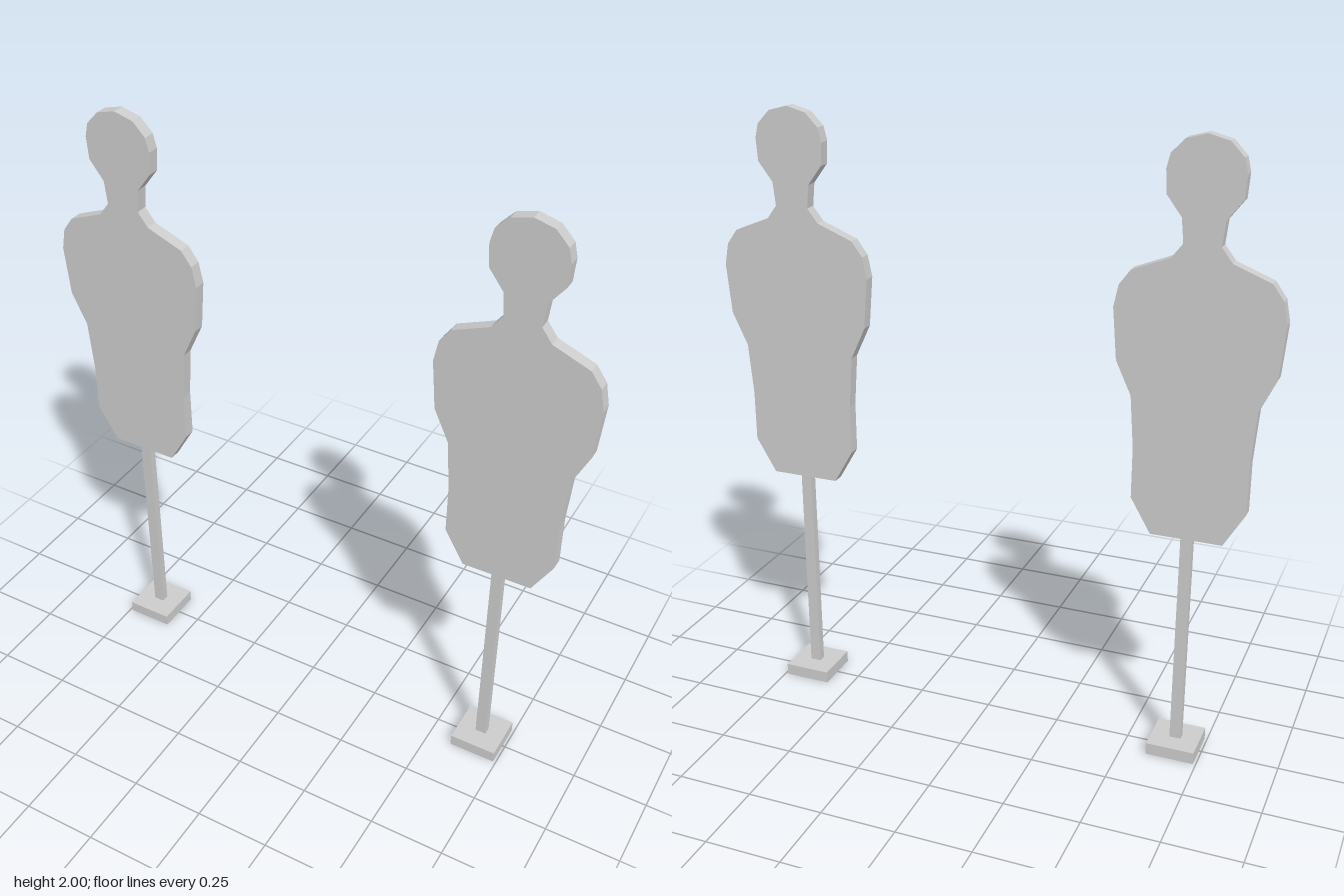
import * as THREE from 'three';

const material = new THREE.MeshStandardMaterial({ color: 0xcccccc, flatShading: true });

// Half outline of the silhouette: half width, height (bottom to crown)
const HALF = [
  [0.114, 0.76], [0.18, 0.873], [0.18, 1.037], [0.193, 1.205], [0.243, 1.312],
  [0.257, 1.475], [0.243, 1.545], [0.208, 1.593], [0.09, 1.64], [0.056, 1.685],
  [0.064, 1.76], [0.111, 1.822], [0.116, 1.895], [0.105, 1.94], [0.064, 1.983],
];
const THICKNESS = 0.04;

function addMesh(group, name, geometry, y = 0) {
  const mesh = new THREE.Mesh(geometry, material);
  mesh.name = name;
  mesh.position.y = y;
  group.add(mesh);
}

function createTarget(name, x) {
  const target = new THREE.Group();
  target.name = name;
  target.position.x = x;

  // Flat board, the half outline mirrored about the crown
  const outline = [
    ...HALF,
    [0, 2],
    ...HALF.map(([w, y]) => [-w, y]).reverse(),
  ].map(([px, py]) => new THREE.Vector2(px, py));
  const board = new THREE.ExtrudeGeometry(new THREE.Shape(outline), {
    depth: THICKNESS, bevelEnabled: false,
  });
  board.translate(0, 0, -THICKNESS / 2);
  addMesh(target, 'silhouetteBoard', board);

  // Post and square foot
  addMesh(target, 'post', new THREE.BoxGeometry(0.037, 0.72, 0.026), 0.4);
  addMesh(target, 'foot', new THREE.BoxGeometry(0.158, 0.04, 0.158), 0.02);
  return target;
}

export function createModel() {
  const model = new THREE.Group();
  model.name = 'standingTargets';
  model.add(createTarget('rightTarget', -0.662), createTarget('leftTarget', 0.662));
  return model;
}
